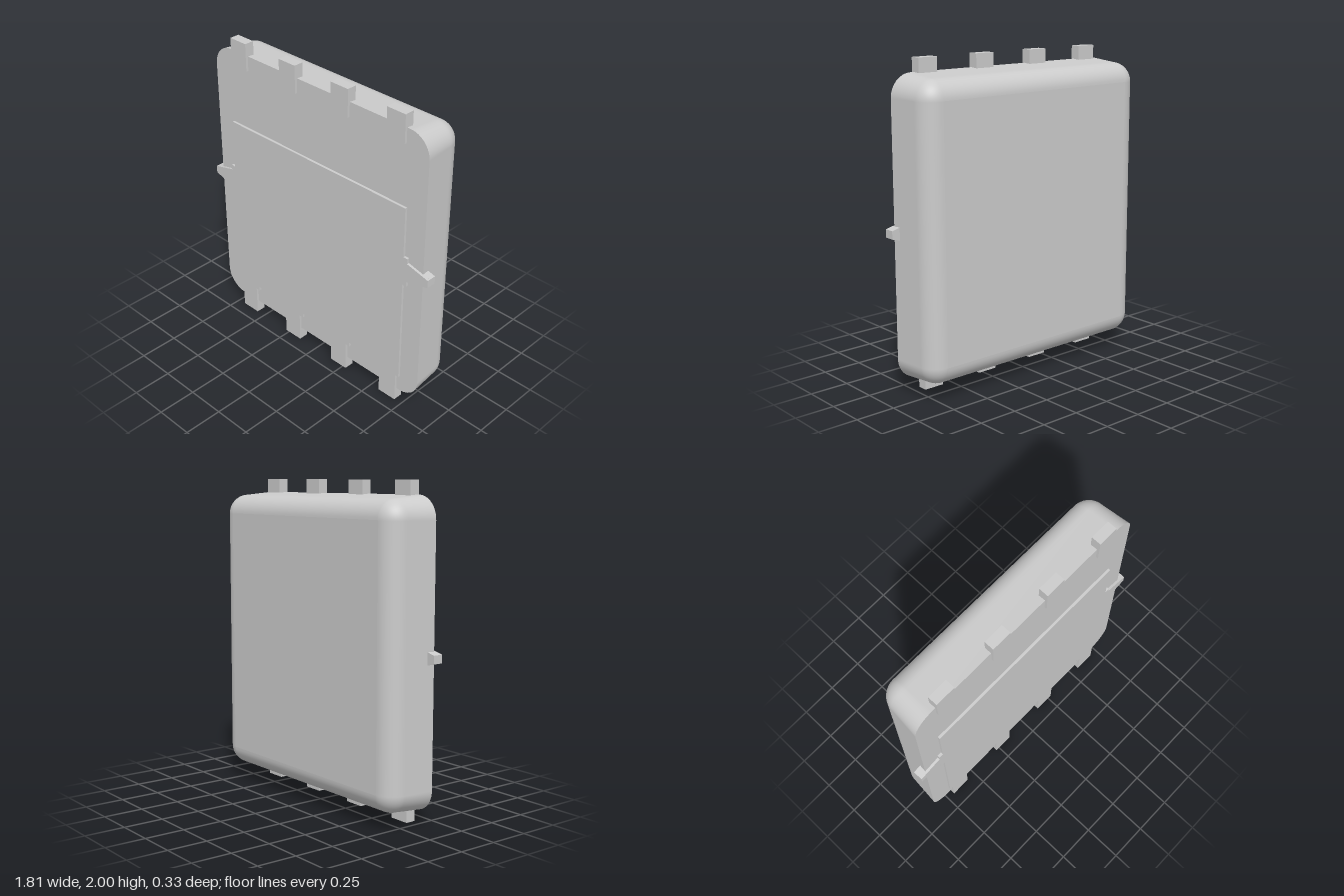
import * as THREE from 'three';

const FACE = 0.147, FRONT = 0.163, BACK = -0.163, LEAD_BACK = 0.1;
const BODY_W = 0.858, BODY_H = 0.916, CORNER = 0.14;
const LEADS = [-0.63, -0.21, 0.21, 0.63], LEAD_HALF = 0.066;

const material = new THREE.MeshStandardMaterial({ color: 0xcccccc });

function addMesh(group, geometry, name) {
  const mesh = new THREE.Mesh(geometry, material);
  mesh.name = name;
  group.add(mesh);
  return mesh;
}

// Extrude an outline of [x, y] points between two depths
function slab(points, z0, z1) {
  const shape = new THREE.Shape(points.map(([x, y]) => new THREE.Vector2(x, y)));
  return new THREE.ExtrudeGeometry(shape, { depth: z1 - z0, bevelEnabled: false }).translate(0, 0, z0);
}

// Rounded-rectangle ring, inset from the full outline
function ring(inset, steps = 12) {
  const r = Math.max(CORNER - inset, 0.004), pts = [];
  const signs = [[1, 1], [-1, 1], [-1, -1], [1, -1]];
  signs.forEach(([sx, sy], c) => {
    for (let i = 0; i <= steps; i++) {
      const a = (c + i / steps) * Math.PI / 2;
      pts.push([
        sx * (BODY_W - inset - r) + r * Math.cos(a),
        1 + sy * (BODY_H - inset - r) + r * Math.sin(a),
      ]);
    }
  });
  return pts;
}

// Drafted wall and rounded rear edge, lofted through rings
function shellGeometry() {
  const draft = 0.017, fillet = 0.119, sections = [[0, FACE]];
  for (let i = 0; i <= 12; i++) {
    const a = (i / 12) * Math.PI / 2;
    sections.push([draft + fillet * (1 - Math.cos(a)), BACK + fillet * (1 - Math.sin(a))]);
  }
  const positions = [], index = [];
  const n = ring(0).length;
  for (const [inset, z] of sections) for (const [x, y] of ring(inset)) positions.push(x, y, z);
  for (let s = 0; s < sections.length - 1; s++) {
    for (let i = 0; i < n; i++) {
      const a = s * n + i, b = s * n + (i + 1) % n;
      index.push(a, a + n, b, b, a + n, b + n);
    }
  }
  const geometry = new THREE.BufferGeometry();
  geometry.setAttribute('position', new THREE.Float32BufferAttribute(positions, 3));
  geometry.setIndex(index);
  geometry.computeVertexNormals();
  return { geometry, backInset: draft + fillet };
}

function capGeometry(inset) {
  return new THREE.ShapeGeometry(new THREE.Shape(ring(inset).map(([x, y]) => new THREE.Vector2(x, y))));
}

// Large contact plate with side spikes and the four lower leads
function plateOutline() {
  const side = [[0.72, 0.197], [0.72, 0.903], [0.75, 0.903], [0.75, 0.937], [0.906, 0.975]];
  const right = [...side, ...side.map(([x, y]) => [x, 2 - y]).reverse().slice(0, 4), [0.72, 1.424]];
  const left = right.map(([x, y]) => [-x, y]).reverse();
  const bottom = [];
  LEADS.forEach((x, i) => {
    const a = x - LEAD_HALF, b = x + LEAD_HALF;
    bottom.push([a, 0.197], [a, 0], [b, 0], [b, 0.197]);
    if (i < LEADS.length - 1) {
      const c = b + 0.03, d = LEADS[i + 1] - LEAD_HALF - 0.03;
      bottom.push([c, 0.197], [c, 0.227], [d, 0.227], [d, 0.197]);
    }
  });
  return [...right, ...left, ...bottom];
}

export function createModel() {
  const model = new THREE.Group();
  model.name = 'powerPackage';

  // Moulded body
  const body = new THREE.Group();
  body.name = 'body';
  model.add(body);
  const { geometry, backInset } = shellGeometry();
  addMesh(body, geometry, 'bodyShell');
  addMesh(body, capGeometry(0), 'bodyFrontFace').position.z = FACE;
  addMesh(body, capGeometry(backInset).rotateY(Math.PI), 'bodyRearFace').position.z = BACK;

  // Contact plate
  addMesh(model, slab(plateOutline(), FACE, FRONT), 'contactPlate');

  // Thickened ends of the lower leads, and the L-shaped upper leads
  LEADS.forEach((x, i) => {
    const a = x - LEAD_HALF, b = x + LEAD_HALF;
    addMesh(model, slab([[a, 0], [b, 0], [b, 0.09], [a, 0.09]], LEAD_BACK, FACE), `lowerLeadEnd${i + 1}`);
    const lead = new THREE.Group();
    lead.name = `upperLead${i + 1}`;
    addMesh(lead, slab([[a, 1.822], [b, 1.822], [b, 2], [a, 2]], FACE, FRONT), 'leadFoot');
    addMesh(lead, slab([[a, 1.91], [b, 1.91], [b, 2], [a, 2]], LEAD_BACK, FACE), 'leadEnd');
    model.add(lead);
  });

  // Thickened tips of the side spikes
  for (const s of [1, -1]) {
    const tip = [[0.85, 0.961], [0.906, 0.975], [0.906, 1.025], [0.85, 1.039]];
    addMesh(model, slab(tip.map(([x, y]) => [s * x, y]), LEAD_BACK, FACE), s > 0 ? 'leftSpikeTip' : 'rightSpikeTip');
  }
  return model;
}
